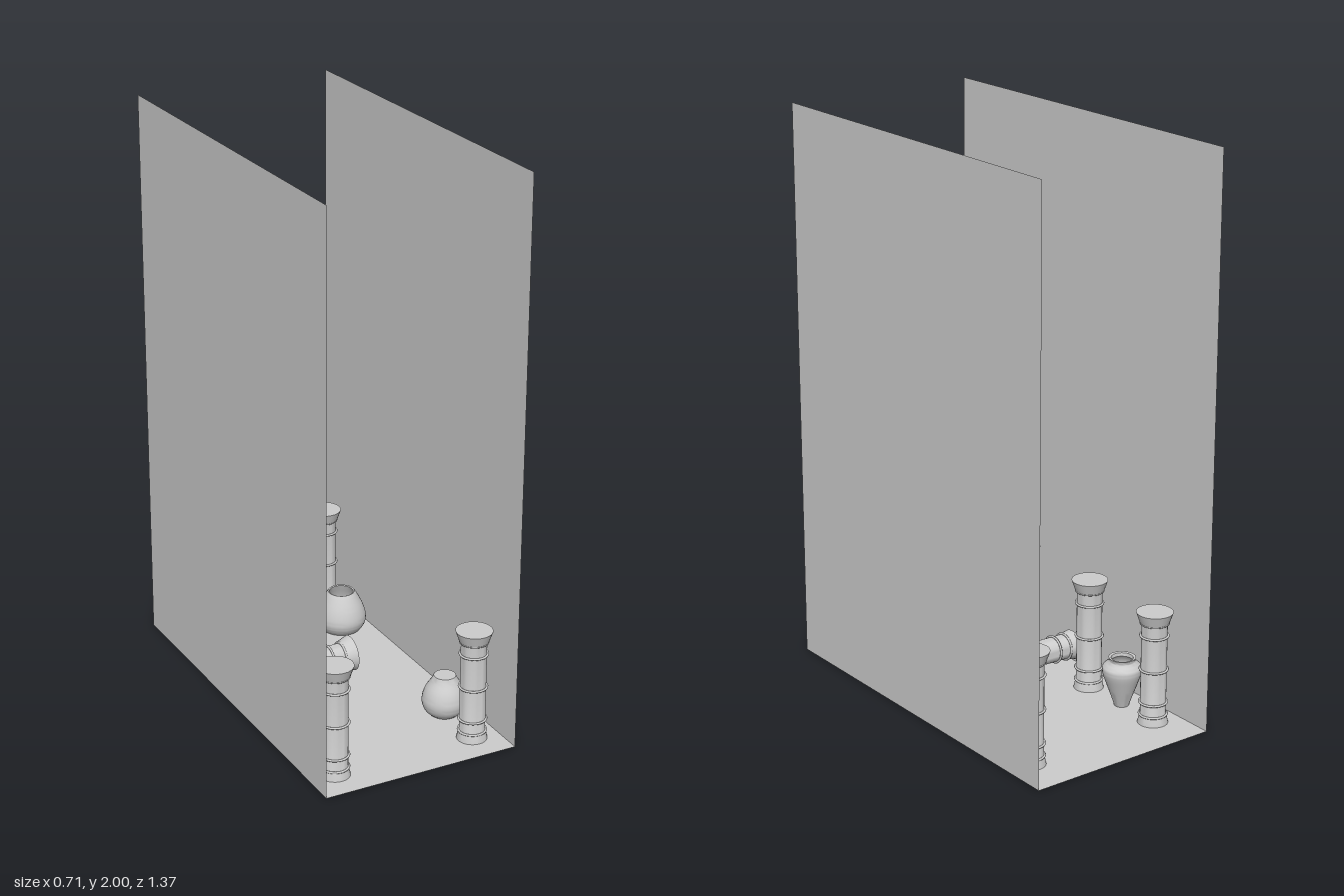
import * as THREE from 'three';
import { toCreasedNormals } from 'three/addons/utils/BufferGeometryUtils.js';

const grey = new THREE.MeshStandardMaterial({ color: 0xcccccc });
const thin = new THREE.MeshStandardMaterial({ color: 0xcccccc, side: THREE.DoubleSide });

const FLOOR_Y = 0.004, HALF_W = 0.355, DEPTH = 1.365;

function addMesh(parent, name, geometry, material = grey) {
  const mesh = new THREE.Mesh(geometry, material);
  mesh.name = name;
  parent.add(mesh);
  return mesh;
}

// Turned shape from [radius, height] pairs
function turned(profile, crease = 0.6) {
  const points = profile.map(([r, y]) => new THREE.Vector2(r, y));
  return toCreasedNormals(new THREE.LatheGeometry(points, 28), crease);
}

// Column with flared foot, flared capital and thin rings
function column(name) {
  const group = new THREE.Group();
  group.name = name;
  addMesh(group, 'shaft', turned([
    [0, 0], [0.053, 0], [0.046, 0.035], [0.044, 0.04],
    [0.044, 0.365], [0.05, 0.369], [0.063, 0.407], [0, 0.407],
  ]));
  for (const y of [0.036, 0.08, 0.2, 0.322, 0.368]) {
    const ring = addMesh(group, 'ring', new THREE.TorusGeometry(0.047, 0.004, 8, 28));
    ring.rotation.x = Math.PI / 2;
    ring.position.y = y;
  }
  return group;
}

// Vase: smooth outer curve through the given points, then an optional inner wall
function vase(name, outer, inner) {
  const curve = new THREE.SplineCurve(outer.map(([r, y]) => new THREE.Vector2(r, y)));
  const profile = [[0, 0], ...curve.getPoints(24).map((p) => [p.x, p.y]), ...inner];
  const group = new THREE.Group();
  group.name = name;
  addMesh(group, 'body', turned(profile, 0.8), thin);
  return group;
}

export function createModel() {
  const model = new THREE.Group();
  model.name = 'corridor';

  // Floor and two tall side walls, all single sheets
  const floor = addMesh(model, 'floor', new THREE.PlaneGeometry(HALF_W * 2, DEPTH), thin);
  floor.rotation.x = -Math.PI / 2;
  floor.position.y = FLOOR_Y;
  for (const side of [-1, 1]) {
    const wall = addMesh(model, side > 0 ? 'leftWall' : 'rightWall',
      new THREE.PlaneGeometry(DEPTH, 2 - FLOOR_Y), thin);
    wall.rotation.y = -side * Math.PI / 2;
    wall.position.set(side * HALF_W, 1 + FLOOR_Y / 2, 0);
  }

  // Standing columns
  const places = [[-0.26, -0.515], [-0.26, -0.17], [-0.26, 0.21], [-0.26, 0.56], [0.26, -0.515], [0.26, 0.56]];
  for (const [x, z] of places) {
    const c = column('standingColumn');
    c.position.set(x, 0, z);
    model.add(c);
  }

  // Fallen column, slightly tilted
  const fallen = column('fallenColumn');
  fallen.scale.y = 1.025;
  fallen.rotation.z = -Math.PI / 2 + 0.03;
  fallen.position.set(-0.318, 0.087, 0);
  model.add(fallen);

  // Wide open jar
  const wideJar = vase('wideJar',
    [[0.065, 0], [0.084, 0.025], [0.09, 0.055], [0.08, 0.095], [0.06, 0.135], [0.048, 0.153]],
    [[0.043, 0.151], [0.054, 0.125], [0.07, 0.09], [0.075, 0.05], [0.055, 0.02], [0, 0.015]]);
  wideJar.position.set(0.246, 0, -0.35);

  // Closed jar with a flat top
  const closedJar = vase('closedJar',
    [[0.04, 0], [0.068, 0.025], [0.078, 0.06], [0.068, 0.1], [0.046, 0.135], [0.038, 0.152]],
    [[0, 0.152]]);
  closedJar.position.set(0.26, 0, 0.375);

  // Round-bellied vase with narrow neck and flared rim
  const bellyVase = vase('bellyVase',
    [[0.038, 0], [0.064, 0.022], [0.077, 0.06], [0.066, 0.105], [0.036, 0.14], [0.03, 0.155], [0.039, 0.172]],
    [[0.034, 0.172], [0.026, 0.155], [0.03, 0.138], [0.058, 0.1], [0.066, 0.06], [0.045, 0.022], [0, 0.015]]);
  bellyVase.position.set(-0.26, 0, 0.385);

  // High-shouldered urn on a narrow foot
  const urn = vase('urn',
    [[0.024, 0], [0.034, 0.03], [0.052, 0.08], [0.067, 0.125], [0.066, 0.15], [0.045, 0.168], [0.047, 0.182]],
    [[0.038, 0.18], [0.036, 0.168], [0.056, 0.145], [0.057, 0.125], [0.043, 0.08], [0.025, 0.03], [0, 0.02]]);
  urn.position.set(-0.26, 0, -0.35);

  model.add(wideJar, closedJar, bellyVase, urn);
  return model;
}
